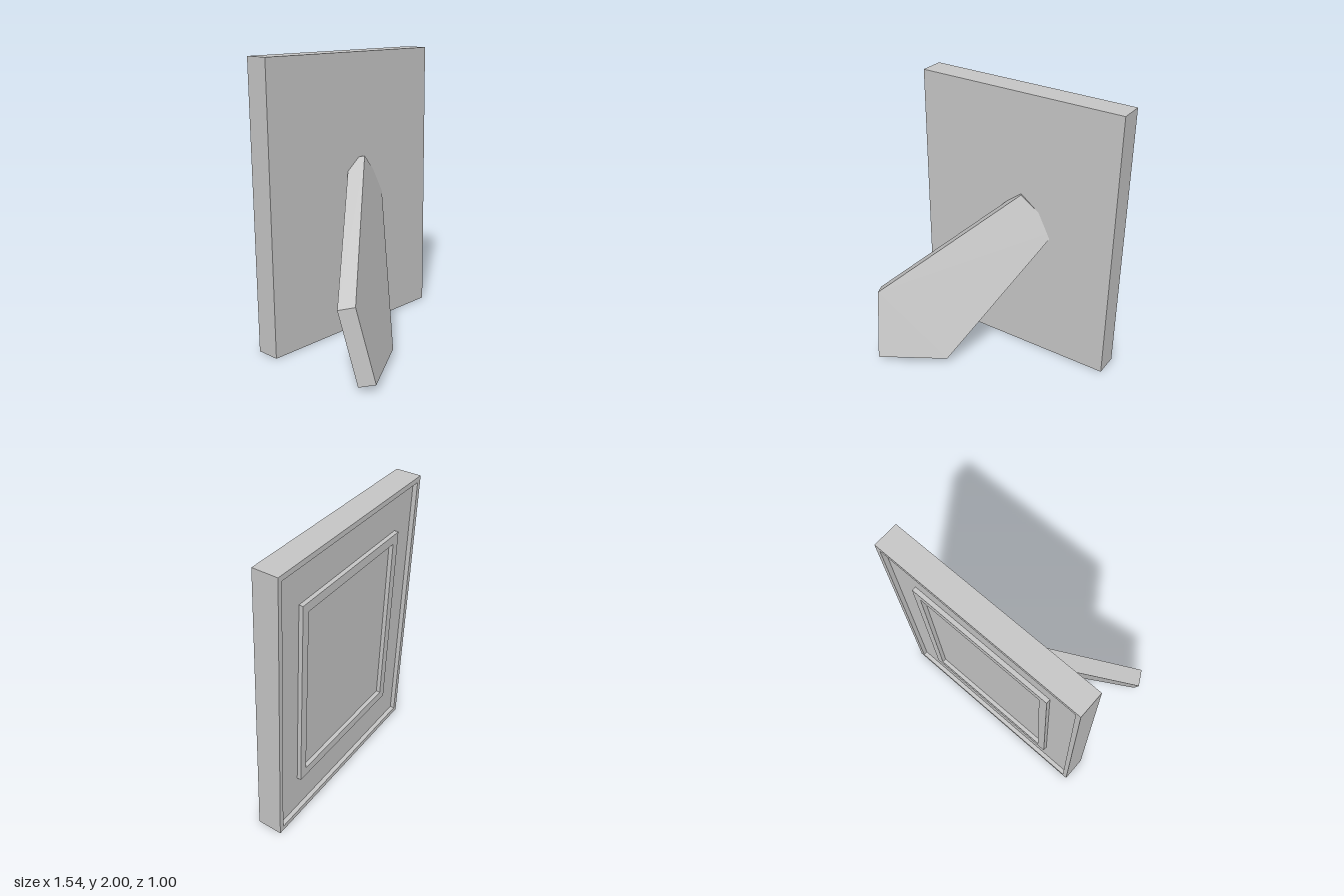
import * as THREE from 'three';

const grey = new THREE.MeshStandardMaterial({ color: 0xc6c6c6 });
grey.name = 'plain grey';

const frameX = 0.003;

function part(name, geometry) {
  const mesh = new THREE.Mesh(geometry, grey);
  mesh.name = name;
  return mesh;
}

function box(name, w, h, z0, z1) {
  const mesh = part(name, new THREE.BoxGeometry(w, h, z1 - z0));
  mesh.position.set(frameX, 1, (z0 + z1) / 2);
  return mesh;
}

// Rectangular border: outer size, inner opening, depth range
function border(name, w, h, iw, ih, z0, z1) {
  const rect = (Type, a, b) => new Type([
    new THREE.Vector2(-a / 2, -b / 2), new THREE.Vector2(a / 2, -b / 2),
    new THREE.Vector2(a / 2, b / 2), new THREE.Vector2(-a / 2, b / 2),
  ]);
  const shape = rect(THREE.Shape, w, h);
  shape.holes.push(rect(THREE.Path, iw, ih));
  const mesh = part(name, new THREE.ExtrudeGeometry(shape, { depth: z1 - z0, bevelEnabled: false }));
  mesh.position.set(frameX, 1, z0);
  return mesh;
}

// Slanted five-sided prop, extruded square to its own plane
function supportLeg() {
  const corners = [
    [-0.713, 0.546, 0.385], [-0.657, 0.05, 0.495], [-0.215, 0.058, 0.24],
    [0.318, 1.035, -0.36], [0.07, 1.277, -0.285],
  ].map((c) => new THREE.Vector3(...c));
  const normal = new THREE.Vector3(0.485, 0.25, 0.838).normalize();
  const u = new THREE.Vector3(0, 1, 0).cross(normal).normalize();
  const v = normal.clone().cross(u);
  const thickness = 0.119;
  const origin = corners[0].clone().addScaledVector(normal, -thickness);
  const shape = new THREE.Shape(corners.map((c) => {
    const d = c.clone().sub(origin);
    return new THREE.Vector2(d.dot(u), d.dot(v));
  }));
  const geometry = new THREE.ExtrudeGeometry(shape, { depth: thickness, bevelEnabled: false });
  geometry.applyMatrix4(new THREE.Matrix4().makeBasis(u, v, normal).setPosition(origin));
  return part('supportLeg', geometry);
}

export function createModel() {
  const model = new THREE.Group();
  model.name = 'pictureFrame';
  model.add(
    border('outerRim', 1.53, 2, 1.462, 1.926, -0.497, -0.322),
    box('backingPanel', 1.462, 1.926, -0.466, -0.322),
    border('innerMoulding', 1.065, 1.386, 0.95, 1.254, -0.495, -0.466),
    supportLeg(),
  );
  return model;
}
